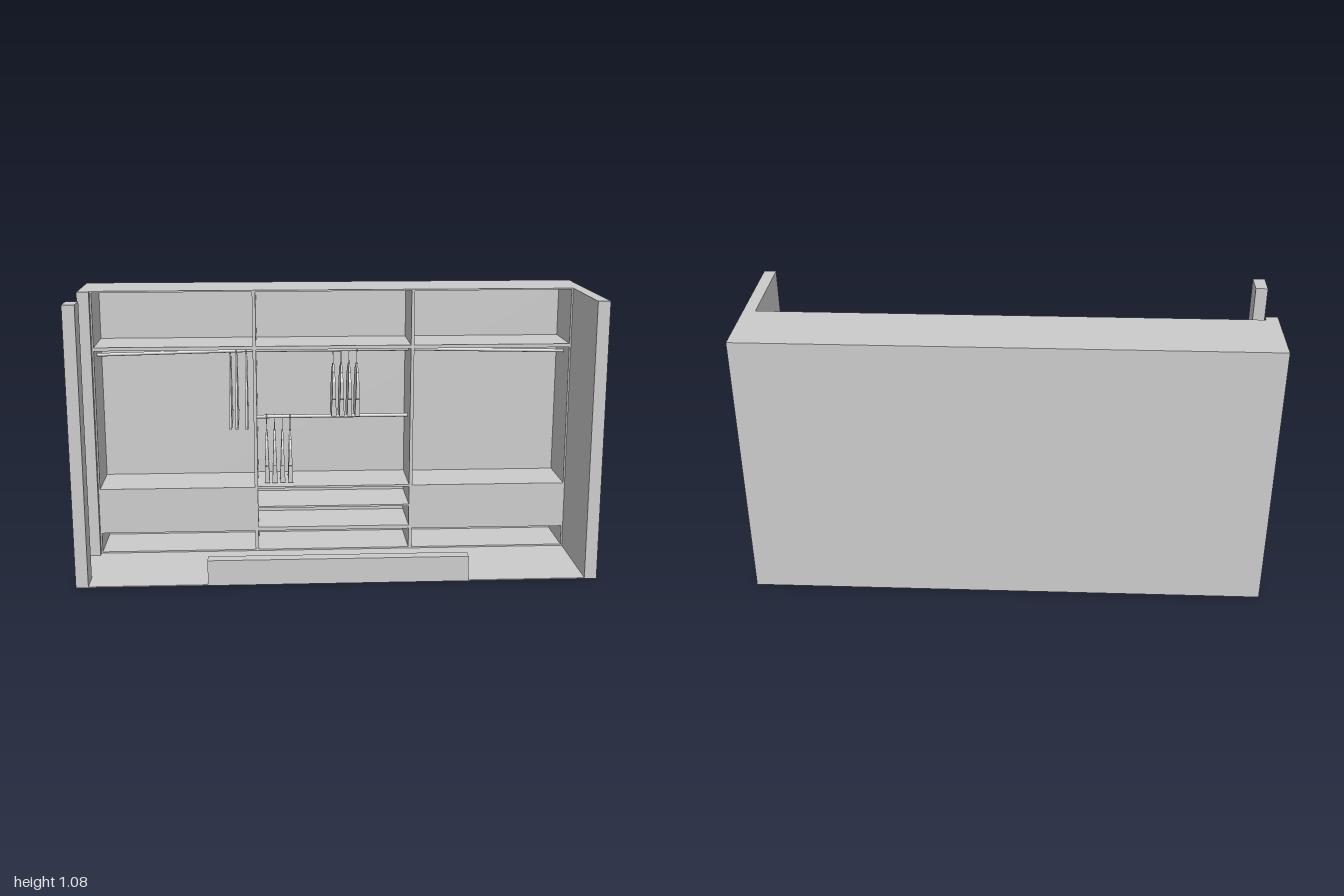
import * as THREE from 'three';

const grey = new THREE.MeshStandardMaterial({ color: 0xcccccc });
const cloth = new THREE.MeshStandardMaterial({ color: 0xcccccc, side: THREE.DoubleSide });

const BACK = -0.28, FRONT = -0.055, ROD_Z = -0.155;

export function createModel() {
  const root = new THREE.Group();

  // box given by its min and max corners
  const box = (name, x0, x1, y0, y1, z0, z1) => {
    const mesh = new THREE.Mesh(new THREE.BoxGeometry(x1 - x0, y1 - y0, z1 - z0), grey);
    mesh.position.set((x0 + x1) / 2, (y0 + y1) / 2, (z0 + z1) / 2);
    mesh.name = name;
    root.add(mesh);
    return mesh;
  };
  const tube = (name, a, b, radius, parent = root) => {
    const path = new THREE.LineCurve3(new THREE.Vector3(...a), new THREE.Vector3(...b));
    const mesh = new THREE.Mesh(new THREE.TubeGeometry(path, 1, radius, 12), cloth);
    mesh.name = name;
    parent.add(mesh);
  };

  // room shell
  box('floor', -1, 1, 0, 0.004, -0.325, 0.325);
  box('backWall', -1, 1, 0.004, 1.08, -0.325, BACK);
  box('leftWall', 0.953, 1, 0.004, 1.08, BACK, 0.325);
  box('rightWall', -1, -0.953, 0.004, 1.08, BACK, -0.03);
  box('doorPost', -1, -0.953, 0.004, 1.08, 0.23, 0.325);
  box('lowFrontWall', -0.5, 0.5, 0.004, 0.1, 0.275, 0.325);

  // wardrobe carcass
  box('topPanel', -0.953, 0.953, 1.074, 1.08, BACK, FRONT);
  box('bottomPanel', -0.953, 0.953, 0.004, 0.01, BACK, FRONT);
  box('upperShelf', -0.947, 0.947, 0.843, 0.857, BACK, FRONT);
  for (const s of [-1, 1]) {
    const span = (name, a, b, y0, y1) =>
      box(name, Math.min(s * a, s * b), Math.max(s * a, s * b), y0, y1, BACK, FRONT);
    span('sidePanel', 0.947, 0.953, 0.01, 1.074);
    span('lowerDivider', 0.309, 0.322, 0.01, 0.843);
    span('upperDivider', 0.309, 0.322, 0.857, 1.074);
    span('drawerBlock', 0.322, 0.947, 0.09, 0.276);
    // side rods dip slightly toward the outer wall
    tube('sideRod', [s * 0.947, 0.811, ROD_Z], [s * 0.322, 0.824, ROD_Z], 0.007);
  }

  // open shelves and rods of the middle bay
  for (const [y0, y1] of [[0.09, 0.105], [0.187, 0.194], [0.27, 0.278]])
    box('middleShelf', -0.309, 0.309, y0, y1, BACK, FRONT);
  for (const y of [0.548, 0.824])
    tube('middleRod', [-0.309, y, ROD_Z], [0.309, y, ROD_Z], 0.0075);

  // garment: a symmetric outline (half width, height below the rod), wider toward the hem
  const garment = (name, x, rodY, half, topWidth, hemWidth) => {
    const group = new THREE.Group();
    group.name = name;
    group.position.set(x, rodY, ROD_Z);
    const points = [...half, ...half.map(([w, y]) => [-w, y]).reverse()];
    const shape = new THREE.Shape(points.map(([w, y]) => new THREE.Vector2(w, y)));
    const geometry = new THREE.ExtrudeGeometry(shape, { depth: 1, bevelEnabled: false });
    geometry.translate(0, 0, -0.5);
    const top = half[0][1], hem = half[half.length - 1][1];
    const p = geometry.attributes.position;
    for (let i = 0; i < p.count; i++) {
      const t = (top - p.getY(i)) / (top - hem);
      p.setZ(i, p.getZ(i) * THREE.MathUtils.lerp(topWidth, hemWidth, t));
    }
    geometry.rotateY(Math.PI / 2);
    geometry.computeVertexNormals();
    const body = new THREE.Mesh(geometry, cloth);
    body.name = 'garmentBody';
    // hanger hook over the rod
    const hook = new THREE.Mesh(new THREE.TorusGeometry(0.011, 0.0015, 6, 14, Math.PI * 1.3), grey);
    hook.rotation.set(0, Math.PI / 2, 0);
    hook.name = 'hangerHook';
    group.add(body, hook);
    tube('hangerStem', [0, -0.01, -0.011], [0, top, 0], 0.0015, group);
    root.add(group);
  };

  // four shirts on each middle rod
  const shirt = [[0.012, -0.057], [0.02, -0.065], [0.056, -0.085], [0.07, -0.12],
    [0.074, -0.19], [0.06, -0.195], [0.06, -0.266]];
  for (const [x0, rodY] of [[-0.271, 0.548], [0.003, 0.824]])
    for (let i = 0; i < 4; i++) garment('shirt', x0 + i * 0.032, rodY, shirt, 0.007, 0.021);

  // three long coats in the right bay
  const coat = [[0.014, -0.012], [0.03, -0.022], [0.062, -0.05], [0.085, -0.14],
    [0.106, -0.29], [0.104, -0.302]];
  for (const x of [-0.415, -0.39, -0.35]) garment('coat', x, 0.822, coat, 0.007, 0.011);

  return root;
}
